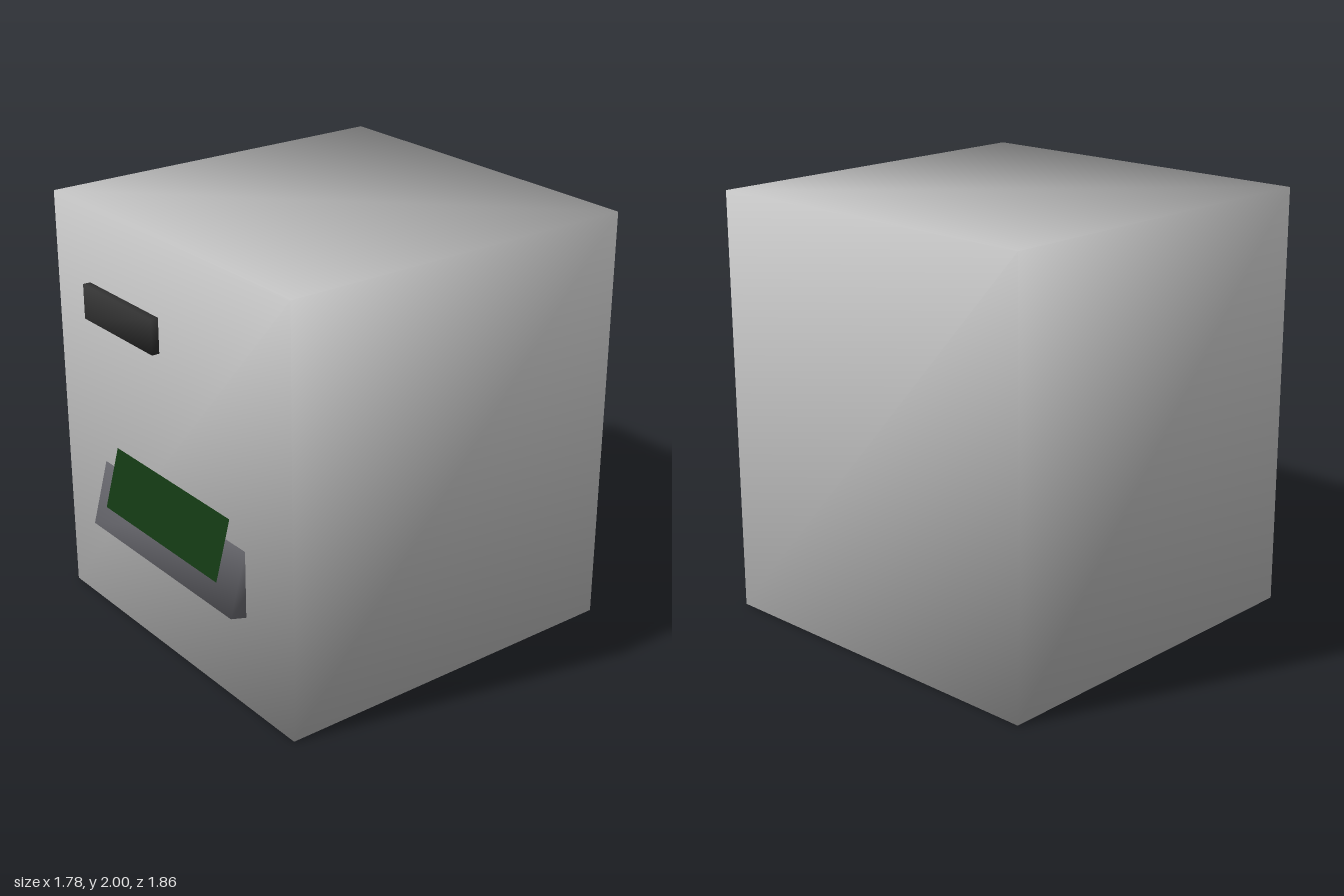
import * as THREE from 'three';
import { mergeVertices } from 'three/addons/utils/BufferGeometryUtils.js';

// Box whose corners share vertices, so its shading is smooth across the edges
function smoothBox(width, height, depth) {
  const box = new THREE.BoxGeometry(width, height, depth);
  box.deleteAttribute('normal');
  box.deleteAttribute('uv');
  const geometry = mergeVertices(box);
  geometry.computeVertexNormals();
  return geometry;
}

export function createModel() {
  const group = new THREE.Group();
  const tilt = THREE.MathUtils.degToRad(-15);

  function add(name, geometry, color, position, rotationX = 0, side = THREE.FrontSide) {
    const mesh = new THREE.Mesh(geometry, new THREE.MeshStandardMaterial({ color, side }));
    mesh.name = name;
    mesh.position.set(...position);
    mesh.rotation.x = rotationX;
    group.add(mesh);
  }

  // Main housing
  add('body', smoothBox(1.78, 2, 1.78), 0xcccccc, [0, 1, -0.04]);

  // Dark slot bar, half sunk in the front
  add('slot', smoothBox(0.555, 0.165, 0.09), 0x333333, [-0.333, 1.557, 0.842]);

  // Sloped panel emerging from the front; its lower front edge is at y 0.47, z 0.93
  const height = 0.4, depth = 0.2;
  const centre = new THREE.Vector3(0, height / 2, -depth / 2)
    .applyAxisAngle(new THREE.Vector3(1, 0, 0), tilt)
    .add(new THREE.Vector3(0, 0.473, 0.93));
  add('slopedPanel', smoothBox(1.11, height, depth), 0x66666c, centre.toArray(), tilt);

  // Thin green screen floating just in front of the panel
  add('screen', new THREE.PlaneGeometry(0.89, 0.29), 0x123812, [0, 0.74, 0.888], tilt, THREE.DoubleSide);

  return group;
}
